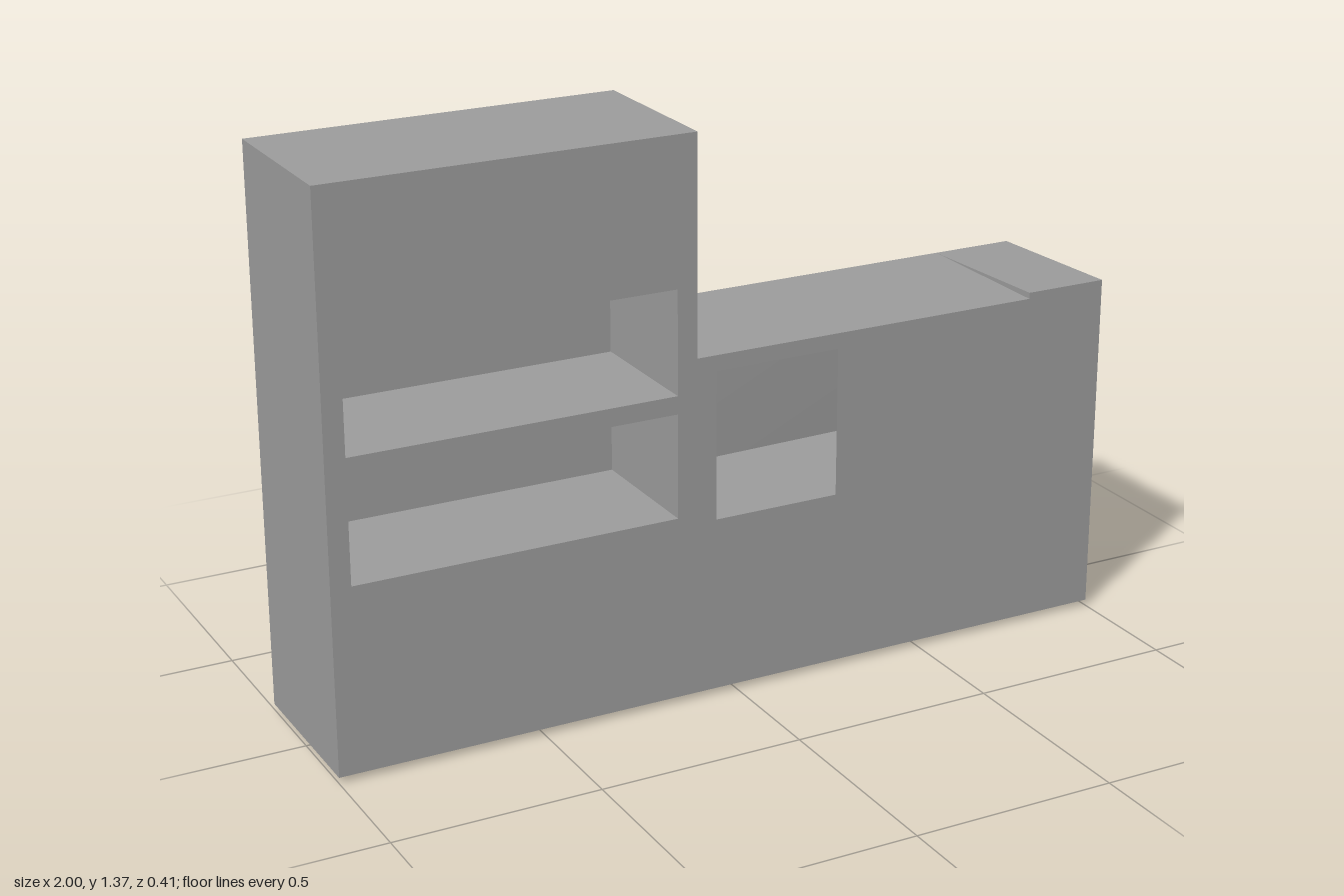
import * as THREE from 'three';

const material = new THREE.MeshStandardMaterial({ color: 0x9b9b9b, side: THREE.DoubleSide });
const F = 0.205, B = -0.205;      // front and back planes
const NICHE_BACK = -0.133;

// Thin four-cornered sheet, corners counter-clockwise from outside
function sheet(name, a, b, c, d) {
  const g = new THREE.BufferGeometry();
  g.setAttribute('position', new THREE.Float32BufferAttribute([...a, ...b, ...c, ...d], 3));
  g.setIndex([0, 1, 2, 0, 2, 3]);
  g.computeVertexNormals();
  const m = new THREE.Mesh(g, material);
  m.name = name;
  return m;
}

// Upright sheet across the depth at a given x, with front and back heights
function sidePanel(name, x, frontLow, frontHigh, backLow, backHigh) {
  return sheet(name, [x, frontLow, F], [x, backLow, B], [x, backHigh, B], [x, frontHigh, F]);
}

// Level or sloping sheet between two x positions
function topPanel(name, x0, x1, yFront, yBack) {
  return sheet(name, [x0, yFront, F], [x1, yFront, F], [x1, yBack, B], [x0, yBack, B]);
}

// Recess behind the front: open at the front, five sheets; the right end may splay
function niche(name, x0, x1, y0, y1, xBack = x1, zBackTop = NICHE_BACK, zBackLow = NICHE_BACK) {
  const g = new THREE.Group();
  g.name = name;
  const z = NICHE_BACK;
  const f = [[x0, y0, F], [x1, y0, F], [x1, y1, F], [x0, y1, F]];
  const b = [[x0, y0, z], [xBack, y0, zBackLow], [xBack, y1, zBackTop], [x0, y1, z]];
  const walls = ['nicheFloor', 'nicheEnd', 'nicheCeiling', 'nicheSide'];
  walls.forEach((wall, i) => {
    const j = (i + 1) % 4;
    g.add(sheet(wall, f[i], f[j], b[j], b[i]));
  });
  g.add(sheet('nicheBack', ...b));
  return g;
}

export function createModel() {
  const model = new THREE.Group();
  model.name = 'cabinetUnit';

  const low = 0.015, counterY = 0.845, stepY = 0.86, tallY = 1.37;
  const tallX = -0.105, stepX = 0.79;

  // Front panel with three openings
  const front = new THREE.Shape([
    [-1, low], [1, low], [1, stepY], [stepX, stepY], [stepX, counterY],
    [tallX, counterY], [tallX, tallY], [-1, tallY],
  ].map(p => new THREE.Vector2(...p)));
  const openings = [
    [-0.951, -0.155, 0.764, 1.016],
    [-0.951, -0.155, 0.466, 0.72],
    [-0.056, 0.262, 0.444, 0.807],
  ];
  for (const [x0, x1, y0, y1] of openings) {
    front.holes.push(new THREE.Path([[x0, y0], [x0, y1], [x1, y1], [x1, y0]].map(p => new THREE.Vector2(...p))));
  }
  const frontPanel = new THREE.Mesh(new THREE.ShapeGeometry(front), material);
  frontPanel.name = 'frontPanel';
  frontPanel.position.z = F;
  model.add(frontPanel);

  // Recesses; the counter one runs on behind the front panel
  model.add(niche('upperShelfNiche', ...openings[0]));
  model.add(niche('lowerShelfNiche', ...openings[1]));
  model.add(niche('counterNiche', -0.056, 0.66, 0.444, 0.807, 0.733, -0.138, -0.158));

  // Outer sides and hanging partitions
  model.add(sidePanel('tallSide', -1, low, tallY, low, tallY));
  model.add(sidePanel('tallPartition', tallX, 0.74, tallY, 0.74, tallY));
  model.add(sidePanel('counterSide', 1, low, stepY, 0, counterY));
  model.add(sidePanel('counterPartition', stepX, 0.635, stepY, 0.635, counterY));

  // Tops
  model.add(topPanel('tallTop', -1, tallX, tallY, tallY));
  model.add(topPanel('counterTop', tallX, stepX, counterY, counterY));
  model.add(topPanel('raisedCounterTop', stepX, 1, stepY, counterY));

  return model;
}
